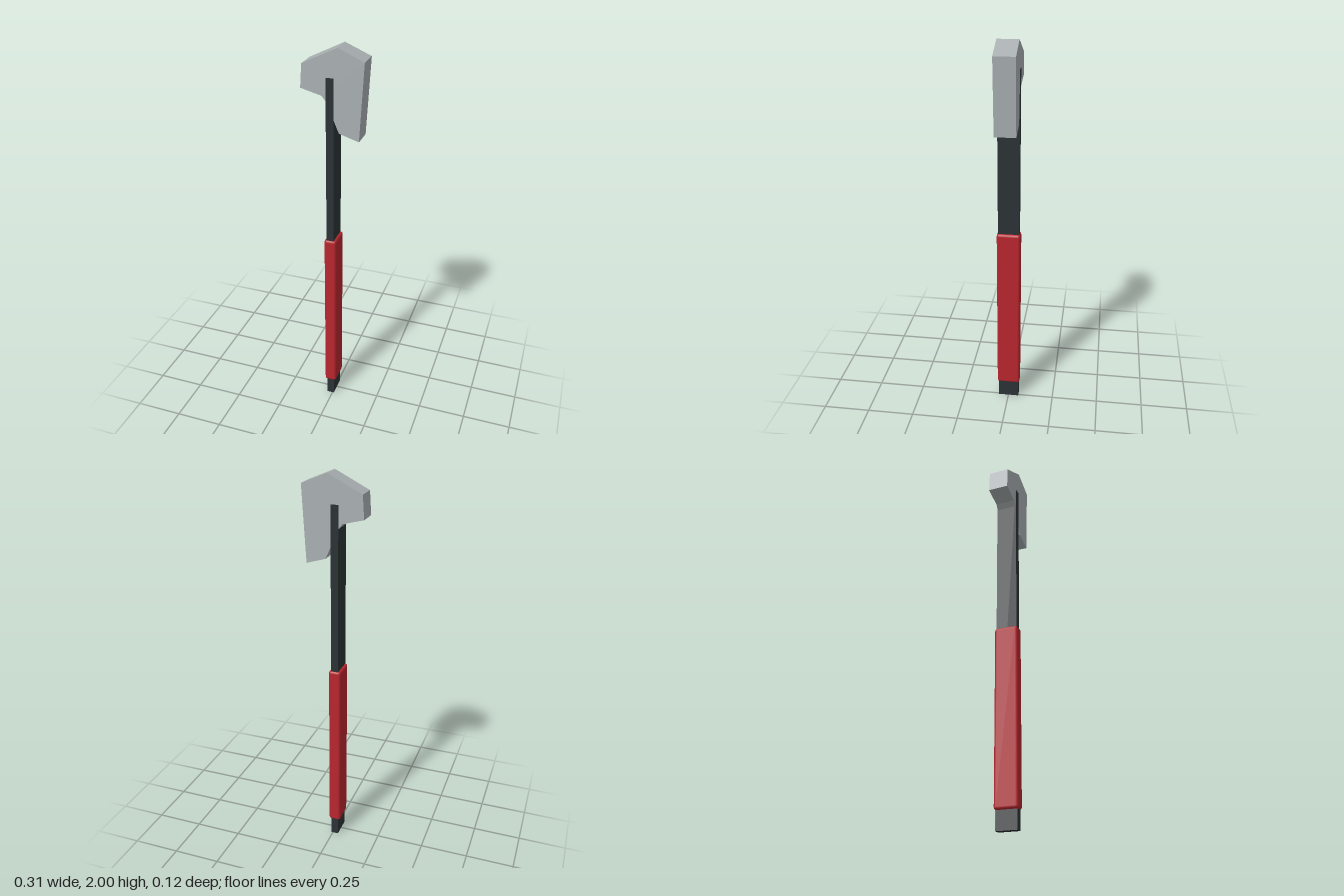
import * as THREE from 'three';
import { RoundedBoxGeometry } from 'three/addons/geometries/RoundedBoxGeometry.js';

const AXIS_X = -0.011; // the handle sits slightly off centre under the head

function addPart(group, name, geometry, color, flatShading = true) {
  const mesh = new THREE.Mesh(geometry, new THREE.MeshStandardMaterial({ color, flatShading }));
  mesh.name = name;
  group.add(mesh);
  return mesh;
}

export function createModel() {
  const group = new THREE.Group();
  group.name = 'hammer';

  // Flat steel bar, running up through the head and just proud of its faces
  addPart(group, 'shaft', new THREE.BoxGeometry(0.038, 1.86, 0.11), 0x2b3235)
    .position.set(AXIS_X, 0.93, -0.001);

  // Soft-edged grip sleeve
  addPart(group, 'grip', new RoundedBoxGeometry(0.063, 0.92, 0.123, 2, 0.013), 0xb8262e, false)
    .position.set(AXIS_X, 0.555, -0.001);

  // Head: short striking face on one side, long downturned beak on the other
  const outline = [
    [-0.154, 1.80], [-0.05, 1.773], [-0.02, 1.735], [0.004, 1.67], [0.034, 1.60],
    [0.132, 1.57], [0.153, 1.947], [0.026, 2.0], [-0.146, 1.915],
  ].map(([x, y]) => new THREE.Vector2(x, y));
  const head = new THREE.ExtrudeGeometry(new THREE.Shape(outline), { depth: 0.106, bevelEnabled: false });
  head.translate(0, 0, -0.054);
  addPart(group, 'head', head, 0xa9afb2);

  return group;
}
